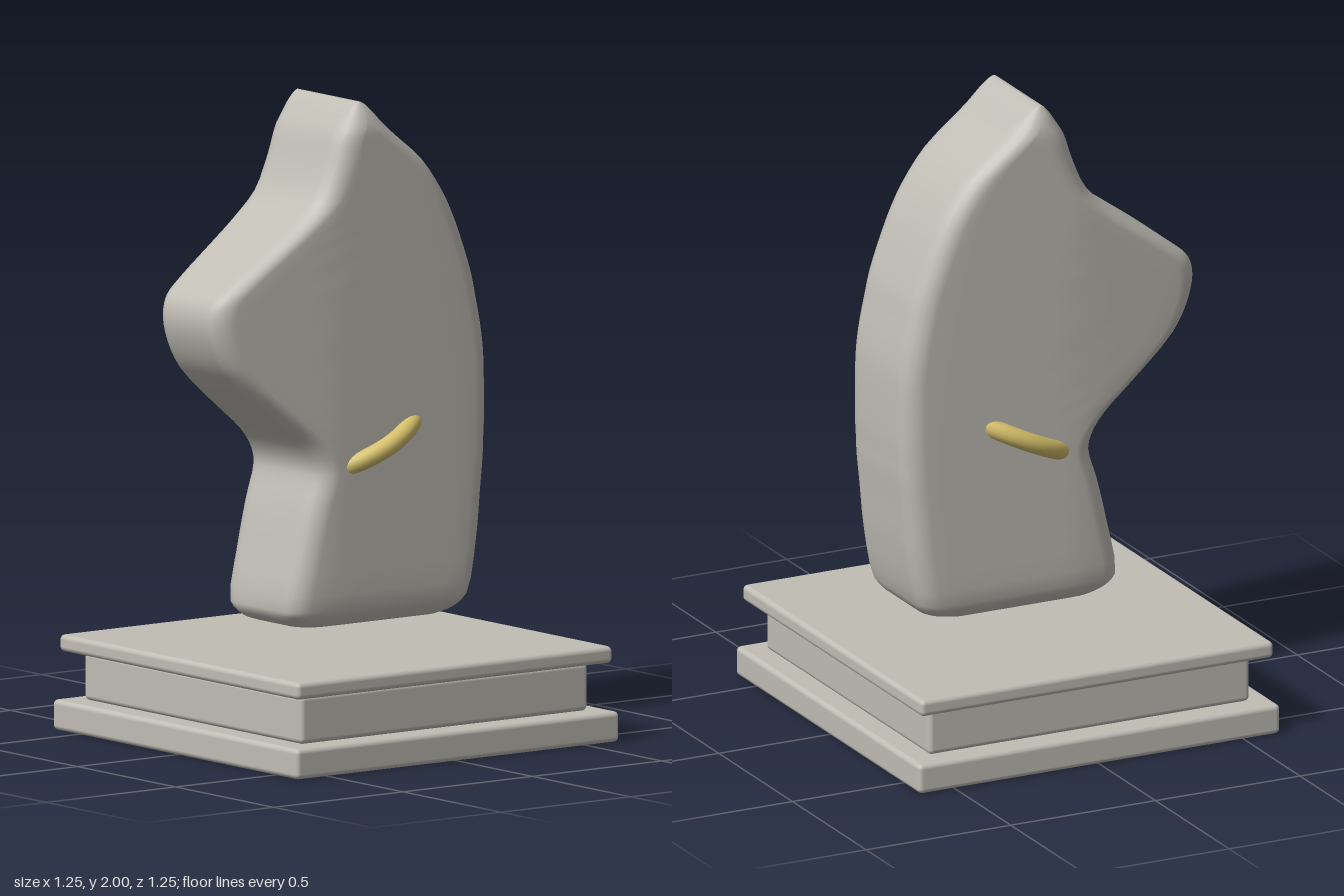
import * as THREE from 'three';
import { RoundedBoxGeometry } from 'three/addons/geometries/RoundedBoxGeometry.js';

// Side outline as [height, back z, front z]
const OUTLINE = [
  [0.375, -0.31, 0.24], [0.39, -0.355, 0.275], [0.43, -0.39, 0.303], [0.6, -0.425, 0.272],
  [0.75, -0.44, 0.235], [0.85, -0.45, 0.205], [0.9, -0.452, 0.215], [0.96, -0.455, 0.258],
  [1.05, -0.455, 0.365], [1.18, -0.452, 0.51], [1.27, -0.44, 0.562], [1.35, -0.423, 0.58],
  [1.41, -0.41, 0.565], [1.46, -0.395, 0.51], [1.54, -0.366, 0.4], [1.62, -0.333, 0.29],
  [1.7, -0.29, 0.2], [1.8, -0.215, 0.15], [1.9, -0.095, 0.115], [1.96, -0.03, 0.075],
  [1.99, 0.005, 0.05], [2, 0.025, 0.035],
];

// Half thickness: softened at the foot and at the crest
function halfWidth(y) {
  const foot = Math.max(0, (0.45 - y) / 0.07);
  const crest = Math.max(0, (y - 1.9) / 0.1);
  return 0.2 - 0.04 * foot * foot - 0.04 * crest * crest;
}

// One side of a horizontal section, from back to front, as [x, z]
function sectionSide(y, back, front) {
  const w = halfWidth(y);
  const r = Math.min(0.07, (front - back) * 0.45);
  const points = [];
  for (let i = 0; i <= 5; i++) {
    const a = (i / 5) * Math.PI / 2;
    points.push([w - r + r * Math.sin(a), back + r - r * Math.cos(a)]);
  }
  for (let i = 1; i < 10; i++) points.push([w, THREE.MathUtils.lerp(back + r, front - r, i / 10)]);
  for (let i = 5; i >= 0; i--) {
    const a = (i / 5) * Math.PI / 2;
    points.push([w - r + r * Math.sin(a), front - r + r * Math.cos(a)]);
  }
  // the muzzle narrows towards its tip
  return points.map(([x, z]) => [x * (1 - 0.5 * Math.max(0, z - 0.15)), z]);
}

function headGeometry() {
  const curve = new THREE.CatmullRomCurve3(OUTLINE.map(([y, b, f]) => new THREE.Vector3(b, y, f)));
  const rows = curve.getPoints((OUTLINE.length - 1) * 3);
  const positions = [], index = [];
  let n = 0;
  for (const { x: back, y, z: front } of rows) {
    const side = sectionSide(y, back, front);
    const ring = [...side, ...side.map(([x, z]) => [-x, z]).reverse()];
    n = ring.length;
    for (const [x, z] of ring) positions.push(x, y, z);
  }
  // skin between neighbouring sections
  for (let i = 0; i < rows.length - 1; i++) {
    for (let j = 0; j < n; j++) {
      const a = i * n + j, b = i * n + (j + 1) % n;
      index.push(a, a + n, b, b, a + n, b + n);
    }
  }
  // close foot and crest
  const last = rows[rows.length - 1];
  const foot = rows.length * n, crest = foot + 1, top = foot - n;
  positions.push(0, rows[0].y, (rows[0].x + rows[0].z) / 2, 0, last.y, (last.x + last.z) / 2);
  for (let j = 0; j < n; j++) {
    const k = (j + 1) % n;
    index.push(foot, j, k, crest, top + k, top + j);
  }
  const geometry = new THREE.BufferGeometry();
  geometry.setAttribute('position', new THREE.Float32BufferAttribute(positions, 3));
  geometry.setIndex(index);
  geometry.computeVertexNormals();
  return geometry;
}

export function createModel() {
  const model = new THREE.Group();
  model.name = 'chessKnight';
  const stone = new THREE.MeshStandardMaterial({ color: 0xc0bdb5 });
  stone.name = 'stone grey';
  const gold = new THREE.MeshStandardMaterial({ color: 0xd4bf6a });
  gold.name = 'gold';

  function add(name, geometry, material) {
    const mesh = new THREE.Mesh(geometry, material);
    mesh.name = name;
    model.add(mesh);
    return mesh;
  }

  // Stepped square base: name, width, bottom, top
  for (const [name, width, bottom, top] of [
    ['basePlinth', 1.25, 0, 0.095],
    ['baseBlock', 1.11, 0.095, 0.245],
    ['baseTop', 1.22, 0.245, 0.298],
  ]) {
    const slab = add(name, new RoundedBoxGeometry(width, top - bottom, width, 3, 0.016), stone);
    slab.position.y = (bottom + top) / 2;
  }

  // Head and neck, floating just above the base
  add('horseHead', headGeometry(), stone);

  // Tilted ring through the neck, showing at both sides
  const collar = add('collarRing', new THREE.TorusGeometry(0.225, 0.03, 16, 64), gold);
  collar.position.set(0, 0.93, -0.035);
  collar.rotation.x = Math.PI / 2 + 0.44;

  return model;
}
